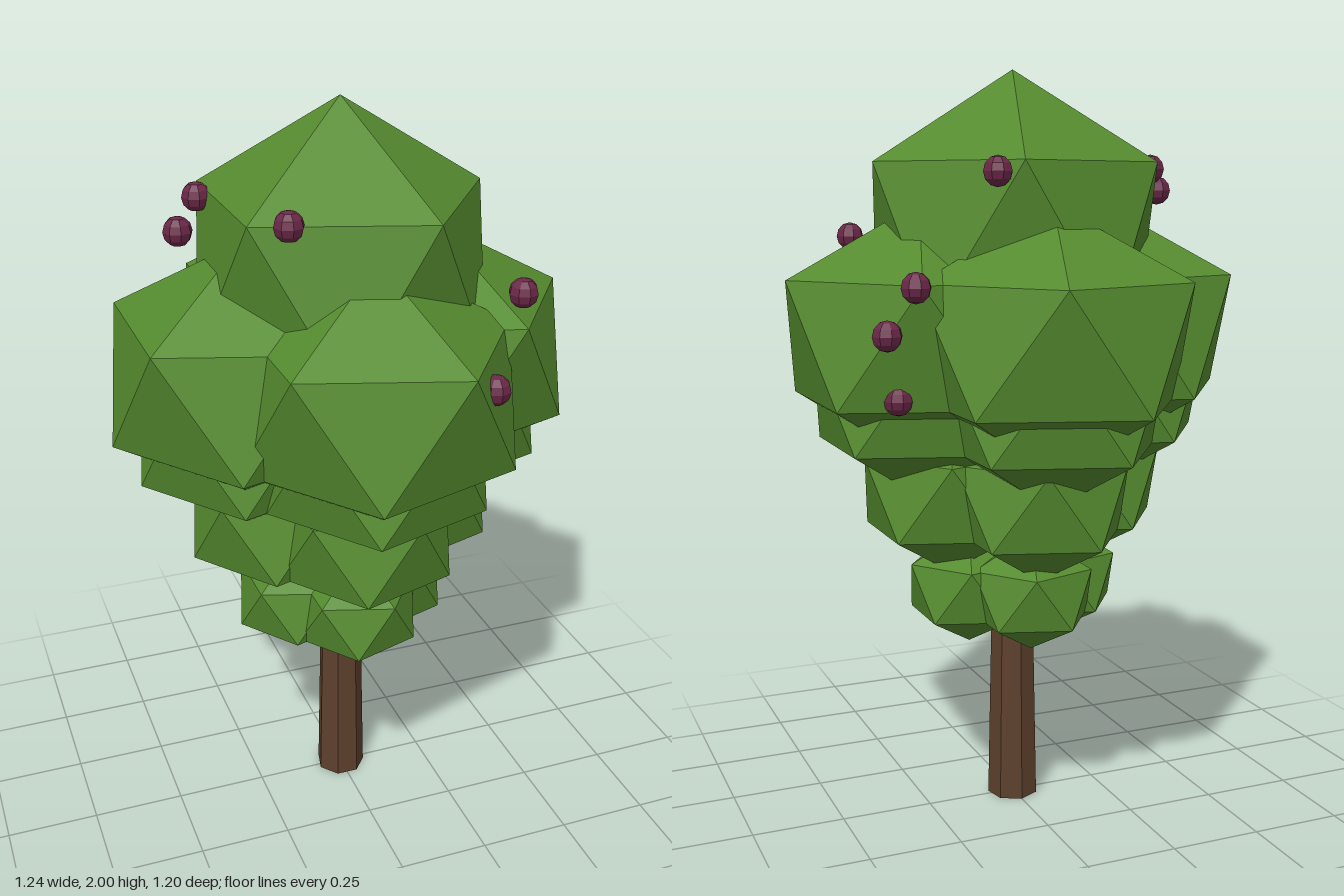
import * as THREE from 'three';

export function createModel() {
  const tree = new THREE.Group();
  tree.name = 'fruitTree';

  const mat = (name, color) => {
    const m = new THREE.MeshStandardMaterial({ color, flatShading: true });
    m.name = name;
    return m;
  };
  const leafGreen = mat('leafGreen', 0x558b2f);
  const barkBrown = mat('barkBrown', 0x5d402d);
  const plum = mat('plum', 0x6a2747);

  const add = (parent, name, geometry, material, x, y, z) => {
    const mesh = new THREE.Mesh(geometry, material);
    mesh.name = name;
    mesh.position.set(x, y, z);
    parent.add(mesh);
    return mesh;
  };

  // Trunk: seven-sided, slightly tapered, a flat side to the front
  const trunk = new THREE.CylinderGeometry(0.055, 0.07, 0.75, 7);
  trunk.rotateY(Math.PI);
  add(tree, 'trunk', trunk, barkBrown, 0, 0.375, 0);

  // Leaf clump: icosahedron standing on a corner, one upper corner towards +x
  const clump = new THREE.IcosahedronGeometry(1, 0);
  clump.rotateZ(-Math.atan(2 / (1 + Math.sqrt(5))));

  const foliage = new THREE.Group();
  foliage.name = 'foliage';
  tree.add(foliage);

  // Tiers of four clumps: [centre height, distance from axis, radius]
  const tiers = [
    [0.625, 0.13, 0.185],
    [0.896, 0.185, 0.263],
    [1.16, 0.26, 0.325],
    [1.312, 0.26, 0.4],
  ];
  const sides = [[0, 1], [1, 0], [0, -1], [-1, 0]];
  tiers.forEach(([y, d, r], i) => {
    for (const [sx, sz] of sides) {
      add(foliage, `leafClumpTier${i + 1}`, clump, leafGreen, sx * d, y, sz * d)
        .scale.set(r, r * 0.87, r);
    }
  });

  // Crown
  add(foliage, 'crown', clump, leafGreen, 0, 1.57, 0).scale.setScalar(0.43);

  // Fruits, a few half buried in the leaves
  const fruits = new THREE.Group();
  fruits.name = 'fruits';
  tree.add(fruits);
  const fruit = new THREE.SphereGeometry(0.038, 8, 6);
  const spots = [
    [-0.41, 1.69, 0.04 * -1],
    [-0.335, 1.745, -0.14],
    [-0.22, 1.765, 0.26],
    [0.35, 1.565, 0.34],
    [0.205, 1.395, 0.505],
    [0.276, 1.248, 0.36],
    [0.175, 1.735, -0.33],
    [0.39, 1.465, -0.35],
    [0.45, 1.35, -0.31],
    [0.405, 1.185, -0.25],
  ];
  for (const [x, y, z] of spots) add(fruits, 'fruit', fruit, plum, x, y, z);

  return tree;
}
